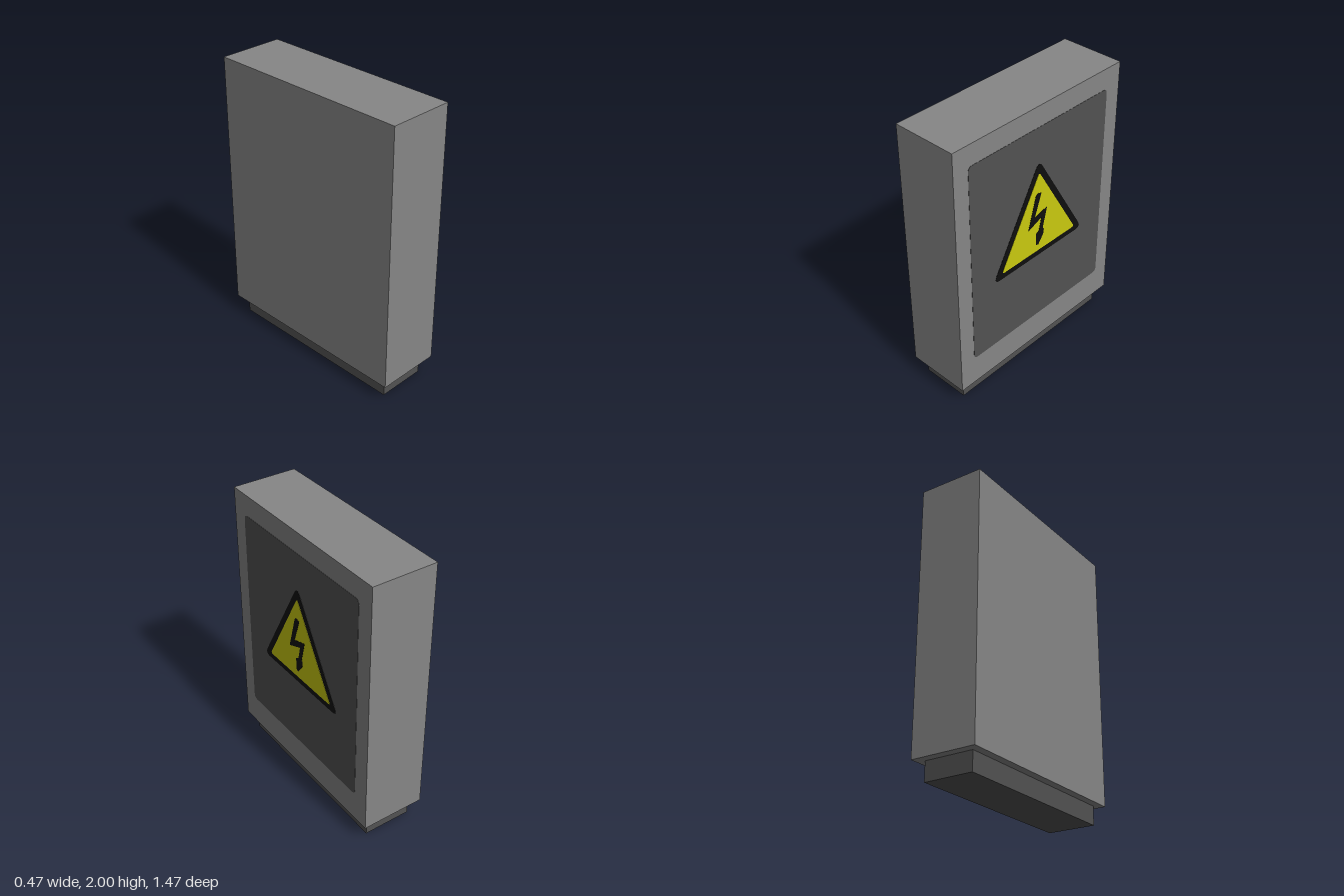
import * as THREE from 'three';

const mat = (name, color) => Object.assign(new THREE.MeshStandardMaterial({ color }), { name });

// Polygon with rounded corners, from [u, y] points in anticlockwise order
function roundedShape(points, radius) {
  const shape = new THREE.Shape();
  const pts = points.map(([u, y]) => new THREE.Vector2(u, y));
  pts.forEach((p, i) => {
    const toward = (q) => p.clone().add(q.clone().sub(p).setLength(radius));
    const a = toward(pts[(i + pts.length - 1) % pts.length]);
    const b = toward(pts[(i + 1) % pts.length]);
    if (i === 0) shape.moveTo(a.x, a.y);
    else shape.lineTo(a.x, a.y);
    shape.quadraticCurveTo(p.x, p.y, b.x, b.y);
  });
  shape.closePath();
  return shape;
}

export function createModel() {
  const group = new THREE.Group();
  const casing = mat('casing grey', 0x868686);
  const dark = mat('dark grey', 0x525252);
  const black = mat('sign black', 0x0e0e0e);
  const yellow = mat('sign yellow', 0xcaca0f);

  const box = (name, material, w, h, d, y) => {
    const mesh = new THREE.Mesh(new THREE.BoxGeometry(w, h, d), material);
    mesh.name = name;
    mesh.position.y = y + h / 2;
    group.add(mesh);
  };

  // Cabinet and its recessed plinth
  box('cabinet', casing, 0.462, 1.868, 1.474, 0.132);
  box('plinth', dark, 0.348, 0.132, 1.354, 0);

  // Thin plates layered on the +x side; u runs towards -z
  const plate = (name, material, shape, layer) => {
    const geometry = new THREE.ExtrudeGeometry(shape, {
      depth: 0.0015 * layer, bevelEnabled: false, curveSegments: 6,
    });
    const mesh = new THREE.Mesh(geometry, material);
    mesh.name = name;
    mesh.rotation.y = Math.PI / 2;
    mesh.position.x = 0.231;
    group.add(mesh);
  };

  // Door panel
  plate('doorPanel', dark, roundedShape(
    [[-0.62, 0.347], [0.617, 0.347], [0.617, 1.853], [-0.62, 1.853]], 0.035), 1);

  // Warning triangle: black border, yellow field, lightning bolt
  plate('signBorder', black, roundedShape(
    [[-0.432, 0.868], [0.418, 0.868], [-0.018, 1.612]], 0.06), 2);
  plate('signField', yellow, roundedShape(
    [[-0.357, 0.91], [0.343, 0.91], [-0.018, 1.525]], 0.025), 3);
  plate('lightningBolt', black, roundedShape([
    [-0.034, 1.374], [-0.048, 1.355], [-0.114, 1.118], [0.008, 1.166], [-0.013, 1.07],
    [-0.04, 1.056], [-0.04, 0.968], [-0.019, 0.957], [0.029, 1.023], [0.034, 1.06],
    [0.022, 1.072], [0.061, 1.226], [-0.056, 1.192], [0.004, 1.362],
  ], 0.005), 4);

  return group;
}
